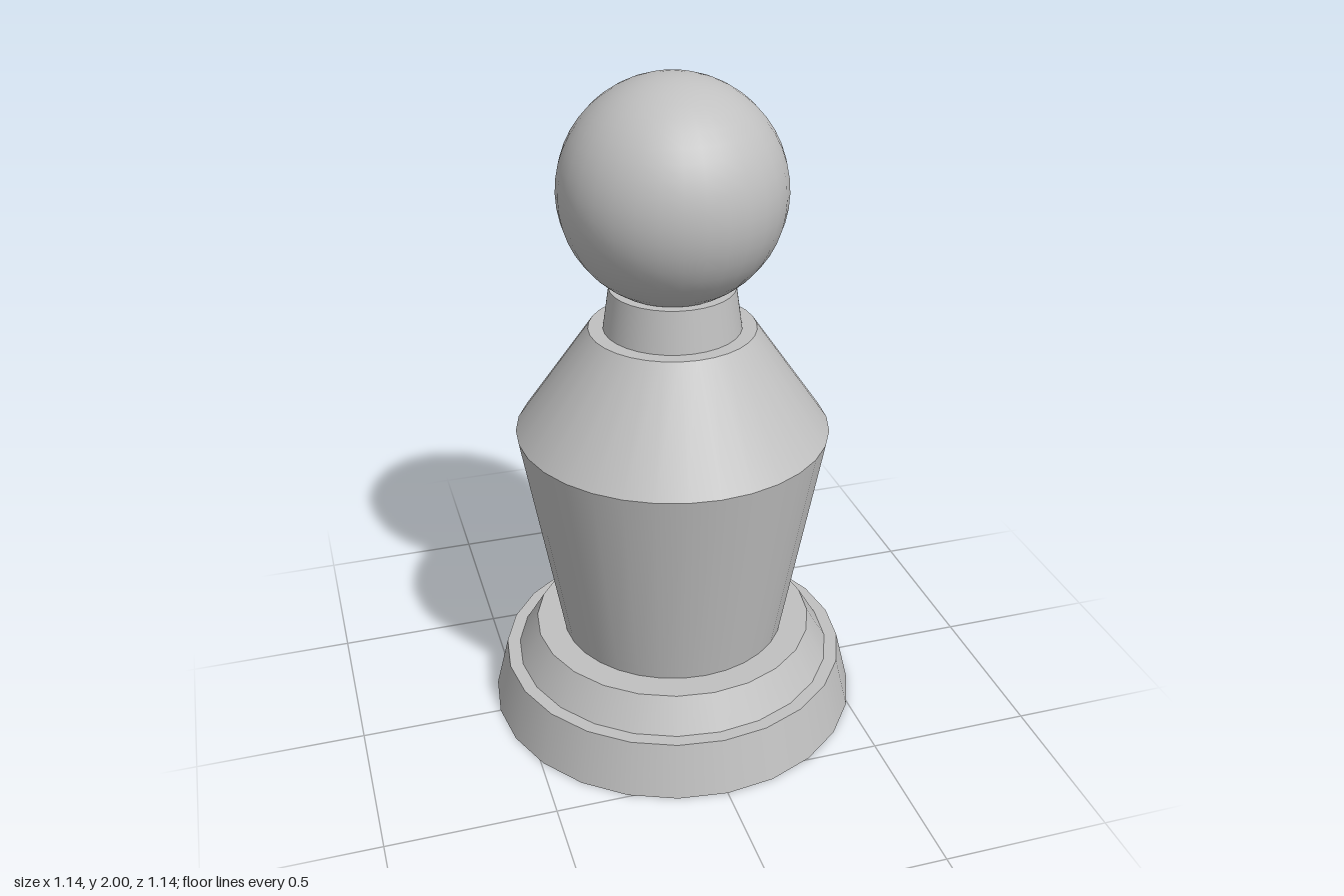
import * as THREE from 'three';

export function createModel() {
  const model = new THREE.Group();
  const grey = new THREE.MeshStandardMaterial({ color: 0xc0c0c0 });
  grey.name = 'grey';

  function add(name, geometry, y) {
    const mesh = new THREE.Mesh(geometry, grey);
    mesh.name = name;
    mesh.position.y = y;
    model.add(mesh);
  }

  // Stacked tapered sections: name, bottom radius, top radius, bottom y, top y, sides
  const sections = [
    ['base', 0.57, 0.53, 0, 0.165, 24],
    ['baseStep', 0.49, 0.43, 0.165, 0.265, 24],
    ['body', 0.345, 0.466, 0.265, 0.945, 32],
    ['shoulder', 0.466, 0.245, 0.945, 1.265, 32],
    ['neck', 0.202, 0.184, 1.265, 1.39, 32],
  ];
  for (const [name, bottom, top, y0, y1, sides] of sections) {
    add(name, new THREE.CylinderGeometry(top, bottom, y1 - y0, sides), (y0 + y1) / 2);
  }

  // Round head resting in the neck
  add('head', new THREE.SphereGeometry(0.325, 32, 24), 1.675);

  return model;
}
